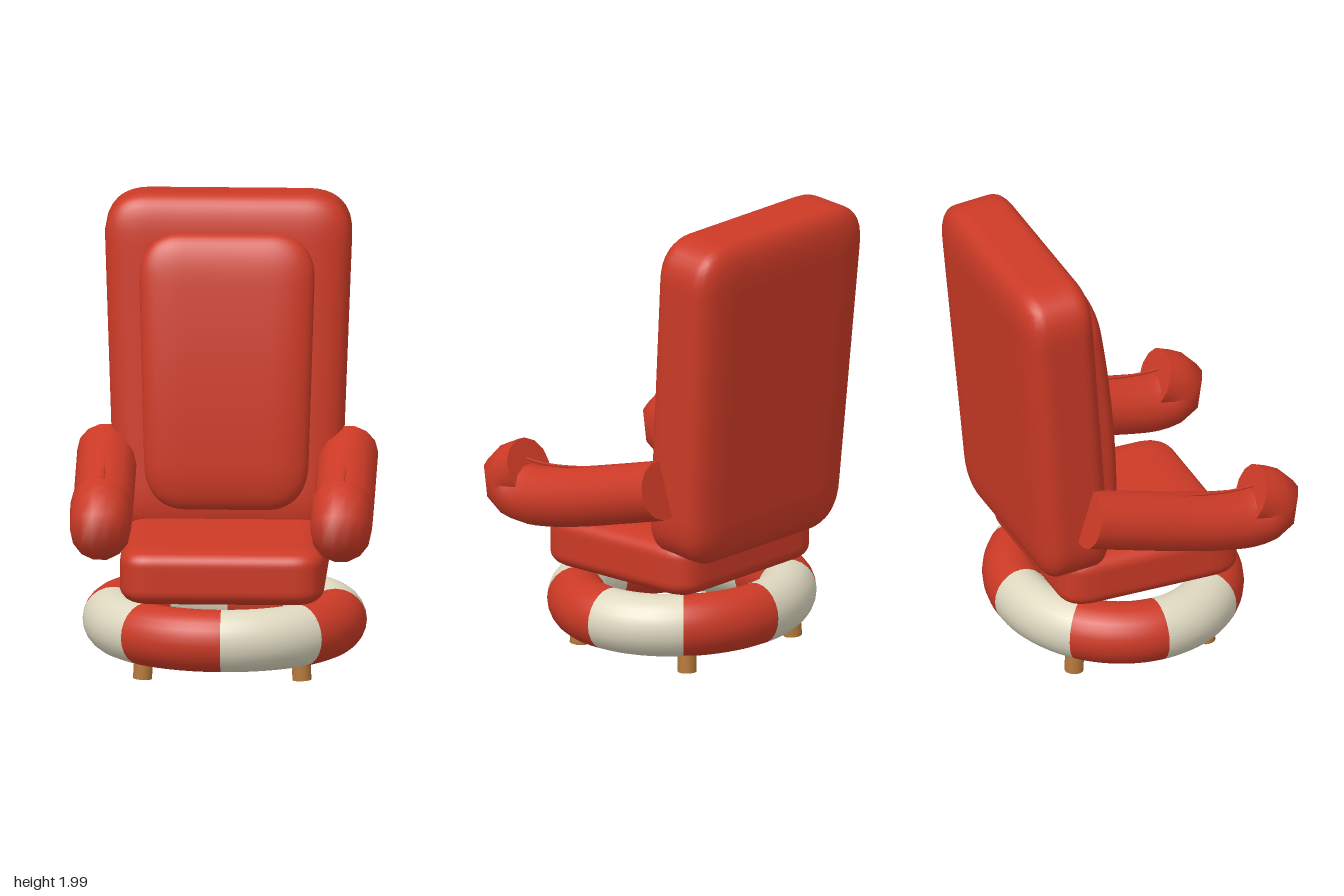
import * as THREE from 'three';
import { mergeVertices } from 'three/addons/utils/BufferGeometryUtils.js';

const mat = (name, color) => {
  const m = new THREE.MeshStandardMaterial({ color });
  m.name = name;
  return m;
};

// Soft box: half sizes h, corner radii r, widening with height (taper), bowed backwards (bow)
function cushion(h, r, taper = 0, bow = 0) {
  const box = new THREE.BoxGeometry(2 * h[0], 2 * h[1], 2 * h[2], 28, 28, 14);
  box.deleteAttribute('uv');
  box.deleteAttribute('normal');
  const geo = mergeVertices(box);
  const pos = geo.attributes.position;
  for (let i = 0; i < pos.count; i++) {
    const p = [pos.getX(i), pos.getY(i), pos.getZ(i)];
    const core = p.map((v, k) => THREE.MathUtils.clamp(v, r[k] - h[k], h[k] - r[k]));
    const d = p.map((v, k) => (v - core[k]) / r[k]);
    const len = Math.pow(d.reduce((s, v) => s + Math.pow(Math.abs(v), 2.3), 0), 1 / 2.3);
    const f = len > 0 ? Math.max(...d.map(Math.abs)) / len : 0;
    const [x, y, z] = core.map((c, k) => c + d[k] * f * r[k]);
    pos.setXYZ(i, x * (1 + taper * y), y, z - bow * y * y);
  }
  geo.computeVertexNormals();
  return geo;
}

export function createModel() {
  const model = new THREE.Group();
  model.name = 'armchair';
  const red = mat('red', 0xcc3a26);
  const cream = mat('cream', 0xded8c0);
  const wood = mat('wood', 0xb5783a);

  const add = (name, geo, material, parent = model) => {
    const mesh = new THREE.Mesh(geo, material);
    mesh.name = name;
    parent.add(mesh);
    return mesh;
  };

  // Seat and leaning back
  add('seat', cushion([0.44, 0.127, 0.417], [0.13, 0.075, 0.13]), red).position.set(0, 0.47, 0);

  const back = add('backrest', cushion([0.51, 0.738, 0.168], [0.19, 0.19, 0.09], 0.07), red);
  back.position.set(0, 1.253, -0.417);
  back.rotation.x = -0.08;

  const panel = add('backPanel', cushion([0.365, 0.6, 0.1], [0.19, 0.2, 0.07], 0.08, 0.09), red);
  panel.position.set(0, 1.243, -0.235);
  panel.rotation.x = -0.1;

  // Ring base in eight alternating segments
  const ring = new THREE.Group();
  ring.name = 'ringBase';
  ring.position.set(0, 0.205, -0.012);
  ring.scale.z = 0.905;
  model.add(ring);
  for (let k = 0; k < 8; k++) {
    const seg = new THREE.TorusGeometry(0.477, 0.135, 24, 10, Math.PI / 4);
    seg.rotateX(Math.PI / 2).rotateY(-k * Math.PI / 4);
    add('ringSegment', seg, k % 2 ? cream : red, ring);
  }

  // Feet, slightly splayed
  for (const sx of [-1, 1]) {
    for (const sz of [-1, 1]) {
      const foot = add('foot', new THREE.CylinderGeometry(0.041, 0.041, 0.14, 16), wood);
      foot.position.set(sx * 0.34, 0.073, sz * 0.306 - 0.035);
      foot.rotation.set(-sz * 0.05, 0, sx * 0.05);
    }
  }

  // Curled armrests
  const path = pts => new THREE.CatmullRomCurve3(pts.map(([z, y]) => new THREE.Vector3(0, y, z)));
  const armPath = path([
    [-0.355, 0.865], [-0.1, 0.795], [0.1, 0.742], [0.26, 0.707], [0.41, 0.69],
    [0.485, 0.71], [0.505, 0.75], [0.47, 0.783], [0.41, 0.808],
  ]);
  const pipePath = path([[-0.07, 0.91], [0.08, 0.877], [0.245, 0.85], [0.34, 0.843], [0.42, 0.846]]);
  for (const side of [-1, 1]) {
    const arm = new THREE.Group();
    arm.name = side > 0 ? 'leftArmrest' : 'rightArmrest';
    add('armRoll', new THREE.TubeGeometry(armPath, 28, 0.13, 14, false), red, arm);
    for (const t of [0, 1]) {
      const cap = add('armCap', new THREE.CircleGeometry(0.13, 14), red, arm);
      cap.position.copy(armPath.getPointAt(t));
      cap.lookAt(cap.position.clone().addScaledVector(armPath.getTangentAt(t), t ? 1 : -1));
    }
    add('armPiping', new THREE.TubeGeometry(pipePath, 16, 0.006, 6, false), red, arm);
    arm.position.x = side * 0.518;
    model.add(arm);
  }
  return model;
}
